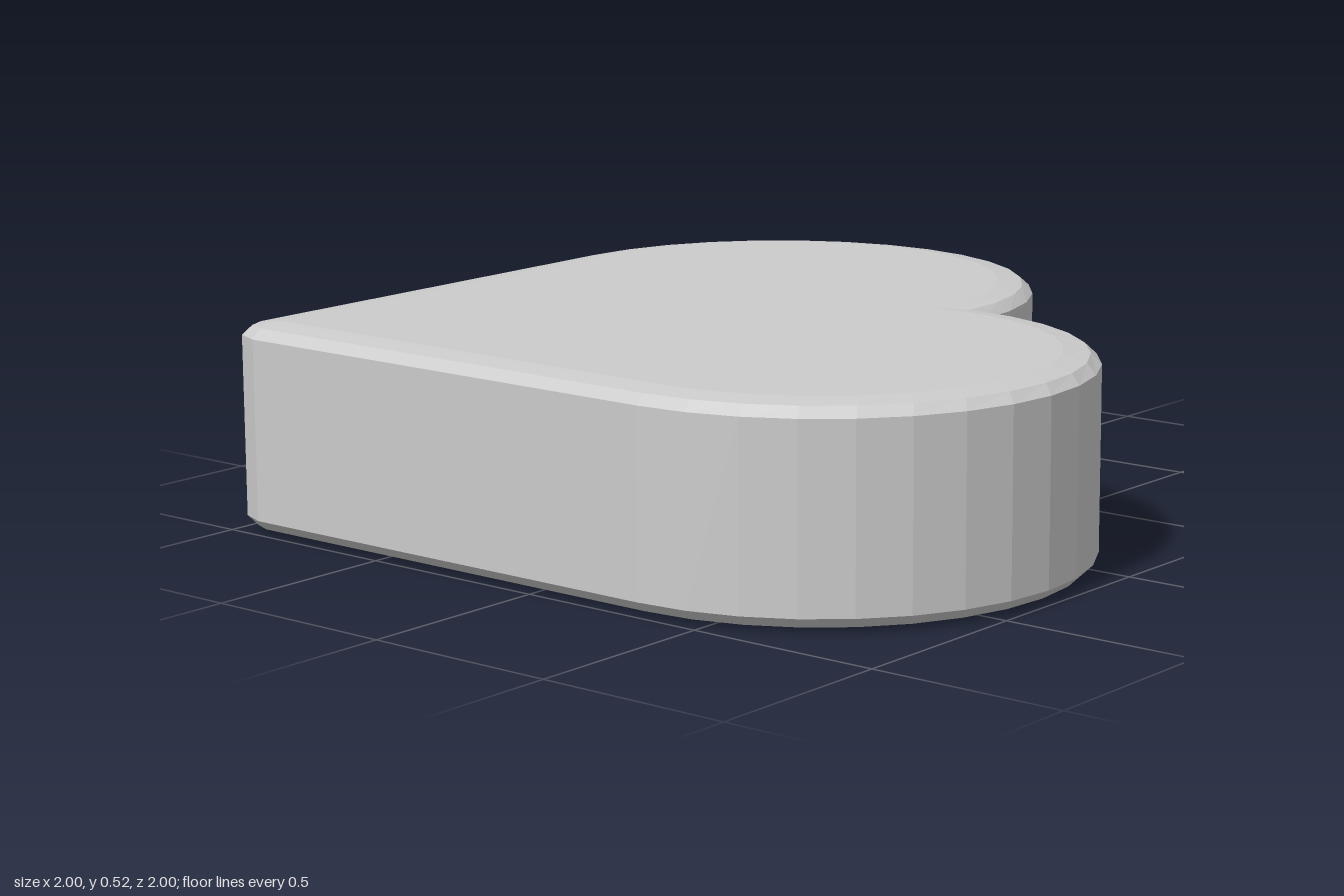
import * as THREE from 'three';

const R = 2 / 3;      // lobe radius
const C = 1 / 3;      // lobe centre offset
const TIP = 0.095;    // rounding of the heart's tip
const LOBE_STEPS = 16;
const TIP_STEPS = 2;

// Heart outline moved inwards by d, as [x, z] points, counter-clockwise from above
function outline(d) {
  const points = [];
  const arc = (cx, cz, r, from, to, steps) => {
    for (let i = 0; i <= steps; i++) {
      const a = from + (to - from) * i / steps;
      points.push(new THREE.Vector2(cx + r * Math.cos(a), cz + r * Math.sin(a)));
    }
  };
  const r = R - d;
  const t = Math.sqrt(Math.max(0, (r * r - 2 * C * C) / 2)); // notch lies at (t, -t)
  const trim = Math.atan2(C - t, C + t);
  arc(-1 + TIP, 1 - TIP, TIP - d, Math.PI / 2, Math.PI, TIP_STEPS);
  arc(-C, -C, r, Math.PI, 2 * Math.PI + trim, LOBE_STEPS);
  arc(C, C, r, -Math.PI / 2 - trim, Math.PI / 2, LOBE_STEPS);
  points.splice(TIP_STEPS + 1 + LOBE_STEPS, 1); // both lobes share the notch point
  return points.reverse();
}

// Edge profile from bottom to top: [inset, height]
const PROFILE = [
  [0.09, 0], [0.026, 0.01], [0, 0.036],
  [0, 0.492], [0.026, 0.516], [0.09, 0.525],
];

function heartGeometry() {
  const rings = PROFILE.map(([d]) => outline(d));
  const n = rings[0].length;
  const positions = [];
  const index = [];
  rings.forEach((ring, k) => ring.forEach((p) => positions.push(p.x, PROFILE[k][1], p.y)));

  // Wall and bevels
  for (let k = 0; k < rings.length - 1; k++) {
    for (let i = 0; i < n; i++) {
      const a = k * n + i;
      const b = k * n + (i + 1) % n;
      index.push(a, b, b + n, a, b + n, a + n);
    }
  }

  // Flat bottom and top
  const top = (rings.length - 1) * n;
  const flat = rings[0].map((p) => new THREE.Vector2(p.x, -p.y));
  for (const [a, b, c] of THREE.ShapeUtils.triangulateShape(flat, [])) {
    const up = (flat[b].x - flat[a].x) * (flat[c].y - flat[a].y)
      - (flat[b].y - flat[a].y) * (flat[c].x - flat[a].x) > 0;
    const [p, q] = up ? [b, c] : [c, b];
    index.push(top + a, top + p, top + q, a, q, p);
  }

  const geometry = new THREE.BufferGeometry();
  geometry.setAttribute('position', new THREE.Float32BufferAttribute(positions, 3));
  geometry.setIndex(index);
  const faceted = geometry.toNonIndexed();
  faceted.computeVertexNormals();
  return faceted;
}

export function createModel() {
  const group = new THREE.Group();
  group.name = 'heartBlock';
  const heart = new THREE.Mesh(
    heartGeometry(),
    new THREE.MeshStandardMaterial({ color: 0xcccccc, flatShading: true }),
  );
  heart.name = 'heart';
  group.add(heart);
  return group;
}
